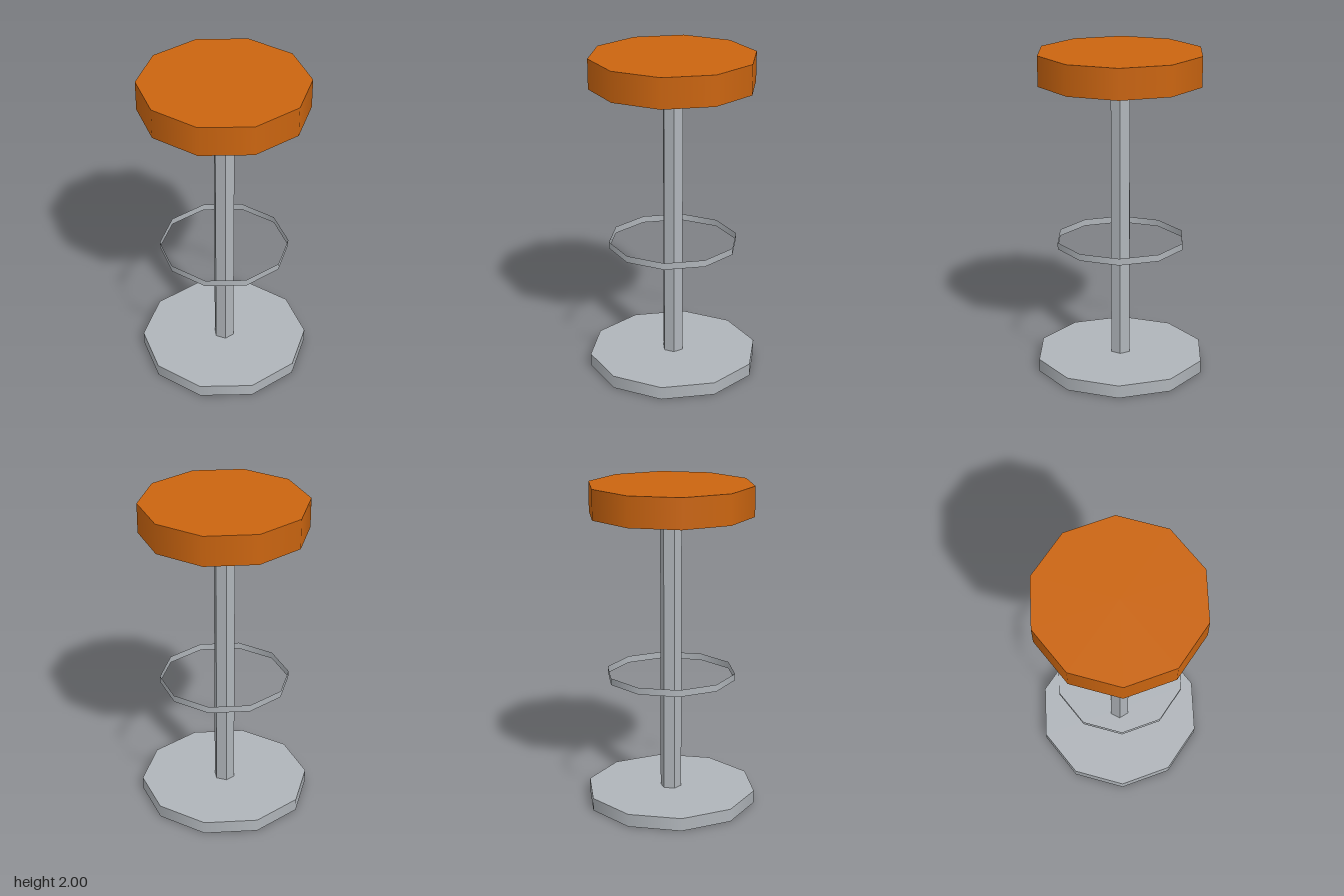
import * as THREE from 'three';

export function createModel() {
  const metal = new THREE.MeshStandardMaterial({ color: 0xb0b5ba, side: THREE.DoubleSide });
  metal.name = 'brushed metal';
  const orange = new THREE.MeshStandardMaterial({ color: 0xcb6510 });
  orange.name = 'orange seat';

  const stool = new THREE.Group();
  stool.name = 'barStool';

  // Upright prism between two heights, with a corner facing the front
  function addPrism(name, material, radius, bottom, top, sides, { open = false, flat = false } = {}) {
    let geometry = new THREE.CylinderGeometry(radius, radius, top - bottom, sides, 1, open);
    if (flat) {
      geometry = geometry.toNonIndexed();
      geometry.computeVertexNormals();
    }
    const mesh = new THREE.Mesh(geometry, material);
    mesh.name = name;
    mesh.position.y = (bottom + top) / 2;
    stool.add(mesh);
  }

  addPrism('base', metal, 0.53, 0, 0.08, 10);
  addPrism('post', metal, 0.066, 0.08, 1.82, 6, { flat: true });
  // Thin open band used as a foot rest
  addPrism('footRing', metal, 0.4, 0.8, 0.842, 10, { open: true });
  addPrism('seat', orange, 0.505, 1.817, 2, 10);

  return stool;
}
